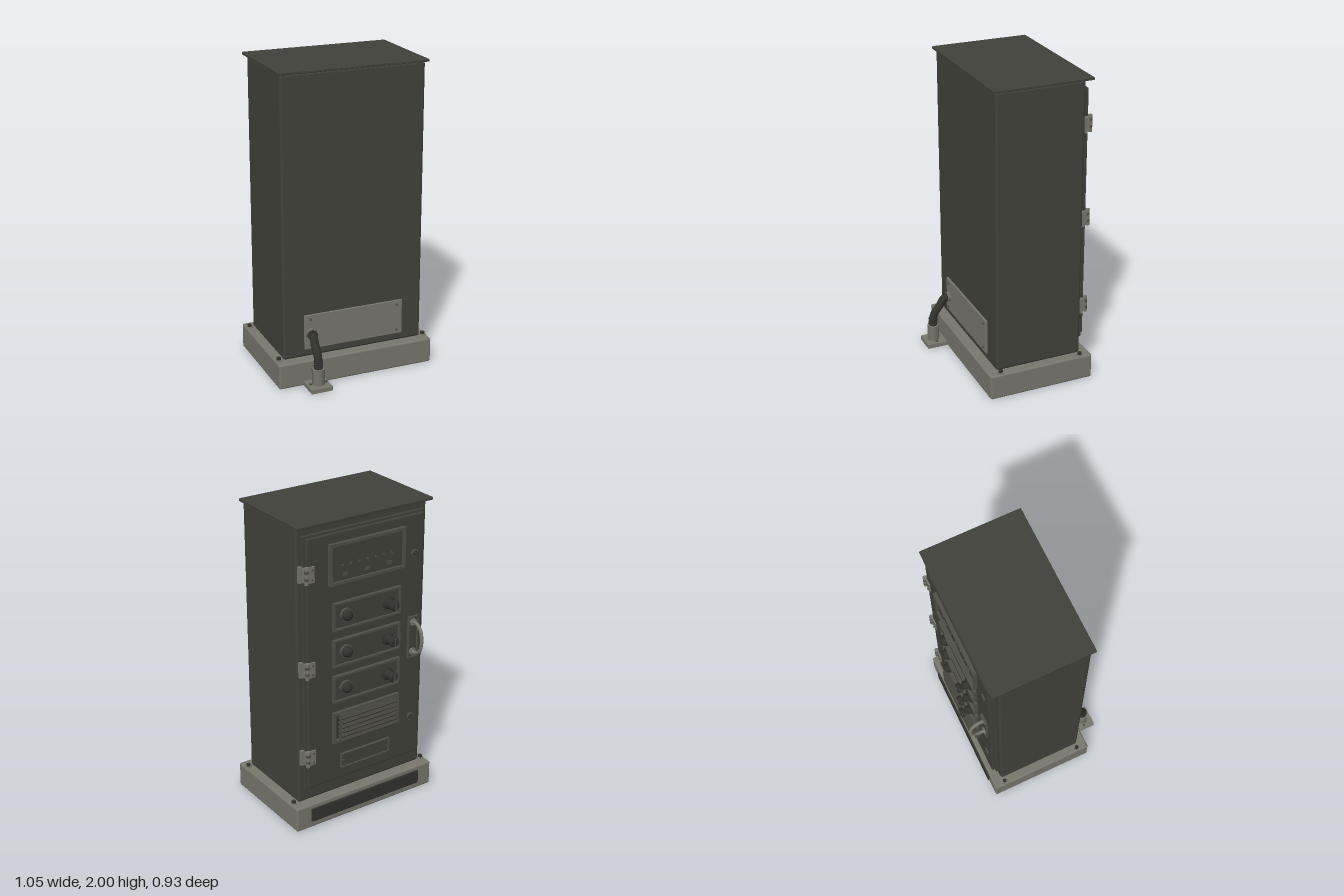
import * as THREE from 'three';
import { RoundedBoxGeometry } from 'three/addons/geometries/RoundedBoxGeometry.js';

export function createModel() {
  const root = new THREE.Group();
  root.name = 'controlCabinet';
  const mat = (name, color) => {
    const m = new THREE.MeshStandardMaterial({ color });
    m.name = name;
    return m;
  };
  const paint = mat('cabinetPaint', 0x42423b);
  const metal = mat('greyMetal', 0x78776d);
  const trim = mat('trimGrey', 0x51514a);
  const dark = mat('darkRubber', 0x32322d);

  const add = (name, geo, m, x, y, z, parent = root) => {
    const mesh = new THREE.Mesh(geo, m);
    mesh.name = name;
    mesh.position.set(x, y, z);
    parent.add(mesh);
    return mesh;
  };
  const box = (name, m, w, h, d, x, y, z, r = 0, parent = root) =>
    add(name, r ? new RoundedBoxGeometry(w, h, d, 3, r) : new THREE.BoxGeometry(w, h, d), m, x, y, z, parent);
  // Upright cylinder
  const post = (name, m, r, h, x, y, z, sides = 20, rTop = r, parent = root) =>
    add(name, new THREE.CylinderGeometry(rTop, r, h, sides), m, x, y, z, parent);
  // Cylinder lying along z
  const disc = (name, m, r, d, x, y, z, sides = 20, parent = root) => {
    const mesh = post(name, m, r, d, x, y, z, sides, r, parent);
    mesh.rotation.x = Math.PI / 2;
    return mesh;
  };
  // Rectangular bezel with an opening
  const bezel = (name, w, h, t, d, x, y, z) => {
    const rect = (P, a, b) => new P([[-a, -b], [a, -b], [a, b], [-a, b]].map(p => new THREE.Vector2(...p)));
    const s = rect(THREE.Shape, w / 2, h / 2);
    s.holes.push(rect(THREE.Path, w / 2 - t, h / 2 - t));
    const geo = new THREE.ExtrudeGeometry(s, { depth: d, bevelEnabled: false });
    return add(name, geo, trim, x, y, z);
  };

  // Plinth, body and roof
  box('plinth', metal, 1.05, 0.165, 0.7, 0, 0.0825, -0.025, 0.012);
  box('body', paint, 0.944, 1.82, 0.577, 0, 1.075, -0.0235, 0.018);
  box('roof', paint, 0.974, 0.017, 0.642, 0, 1.9915, -0.037, 0.004);
  box('plinthPanel', dark, 0.836, 0.09, 0.014, 0, 0.09, -0.379, 0.003);
  for (const x of [-0.5, 0.5]) for (const z of [-0.298, 0.248]) {
    post('anchorWasher', metal, 0.021, 0.006, x, 0.168, z);
    post('anchorBolt', dark, 0.014, 0.016, x, 0.178, z, 6);
  }

  // Door with flange
  box('doorFlange', paint, 0.88, 1.67, 0.024, 0, 1.097, -0.322, 0.004);
  box('door', paint, 0.846, 1.64, 0.03, 0, 1.097, -0.339, 0.006);
  const face = -0.354;

  // Hinges on the left edge
  for (const y of [1.7, 1.09, 0.49]) {
    const hinge = new THREE.Group();
    hinge.name = 'hinge';
    root.add(hinge);
    box('hingeBodyLeaf', metal, 0.03, 0.1, 0.03, 0.447, y, -0.317, 0, hinge);
    box('hingeDoorLeaf', metal, 0.06, 0.1, 0.01, 0.405, y, -0.358, 0, hinge);
    box('hingeWeb', metal, 0.012, 0.09, 0.035, 0.436, y, -0.343, 0, hinge);
    for (let i = -2; i <= 2; i++)
      post('hingeKnuckle', i % 2 ? trim : metal, 0.013, 0.019, 0.432, y + i * 0.022, -0.363, 16, 0.013, hinge);
    for (const s of [-1, 1]) disc('hingeScrew', trim, 0.007, 0.008, 0.392, y + s * 0.03, -0.365, 12, hinge);
  }

  // Display panel with indicator lamps
  bezel('displayFrame', 0.55, 0.26, 0.018, 0.022, 0, 1.73, -0.376);
  box('displayPlate', paint, 0.52, 0.23, 0.008, 0, 1.73, face - 0.003);
  for (let i = 0; i < 7; i++) disc('indicatorLamp', trim, 0.006, 0.008, -0.18 + i * 0.06, 1.715, face - 0.009, 12);
  for (const x of [-0.16, 0, 0.16]) box('displayKey', trim, 0.035, 0.022, 0.006, x, 1.655, face - 0.009);

  // Control rows: lamp and rotary knob
  for (const y of [1.395, 1.155, 0.915]) {
    bezel('controlFrame', 0.5, 0.18, 0.012, 0.02, 0, y, -0.374);
    box('controlPlate', paint, 0.478, 0.158, 0.008, 0, y, face - 0.003);
    disc('lampCollar', trim, 0.043, 0.018, 0.155, y, -0.367, 24);
    const lamp = add('lampDome', new THREE.SphereGeometry(0.036, 24, 10, 0, Math.PI * 2, 0, Math.PI / 2), dark, 0.155, y, -0.376);
    lamp.rotation.x = -Math.PI / 2;
    const pts = [[0.042, 0], [0.042, 0.014], [0.028, 0.02], [0.026, 0.042], [0.017, 0.046], [0.017, 0.056],
      [0.031, 0.06], [0.031, 0.08], [0.026, 0.086], [0, 0.086]];
    const knob = add('knob', new THREE.LatheGeometry(pts.map(p => new THREE.Vector2(...p)), 24).toNonIndexed(), dark, -0.158, y, -0.358);
    knob.geometry.computeVertexNormals();
    knob.rotation.x = -Math.PI / 2;
    box('knobPointer', trim, 0.008, 0.05, 0.006, -0.158, y, -0.444);
  }

  // Ventilation louvres
  bezel('ventFrame', 0.5, 0.21, 0.018, 0.022, 0, 0.65, -0.376);
  box('ventBacking', dark, 0.46, 0.17, 0.006, 0, 0.65, face - 0.002);
  for (let i = 0; i < 6; i++)
    box('louvre', paint, 0.418, 0.008, 0.056, 0, 0.577 + i * 0.031, -0.383).rotation.x = -0.5;

  // Nameplate, blank
  bezel('nameplateFrame', 0.374, 0.1, 0.007, 0.014, 0, 0.4, -0.368);
  box('nameplate', paint, 0.36, 0.086, 0.006, 0, 0.4, face - 0.003);
  for (const x of [-0.165, 0.165]) disc('nameplateRivet', trim, 0.006, 0.008, x, 0.4, face - 0.007, 12);

  // Pull handle and locks on the right edge
  bezel('handleFrame', 0.075, 0.28, 0.007, 0.016, -0.355, 1.115, -0.37);
  box('handlePlate', paint, 0.065, 0.27, 0.008, -0.355, 1.115, face - 0.003);
  const grip = new THREE.CatmullRomCurve3([[1.215, -0.355], [1.215, -0.4], [1.185, -0.438], [1.115, -0.454],
    [1.045, -0.438], [1.015, -0.4], [1.015, -0.355]].map(([y, z]) => new THREE.Vector3(-0.355, y, z)));
  add('handleGrip', new THREE.TubeGeometry(grip, 40, 0.011, 12), metal, 0, 0, 0);
  for (const y of [1.215, 1.015]) disc('handleFoot', metal, 0.024, 0.012, -0.355, y, -0.363);
  for (const y of [1.67, 0.55]) {
    disc('lockRing', trim, 0.025, 0.012, -0.355, y, -0.358, 24);
    disc('lockCore', dark, 0.016, 0.008, -0.355, y, -0.366);
    box('keySlot', trim, 0.004, 0.018, 0.003, -0.355, y, -0.371);
  }

  // Access plate on the front
  box('accessPlate', metal, 0.67, 0.23, 0.014, 0, 0.335, 0.271, 0.003);
  for (const x of [-0.297, 0.297]) for (const y of [0.42, 0.25]) disc('plateScrew', trim, 0.008, 0.008, x, y, 0.281, 12);

  // Cable conduit with gland and floor fitting
  const px = -0.293;
  disc('glandNut', metal, 0.038, 0.02, px, 0.325, 0.286, 6);
  disc('glandCollar', dark, 0.031, 0.022, px, 0.325, 0.305);
  const path = new THREE.CatmullRomCurve3([[0.327, 0.285], [0.318, 0.315], [0.27, 0.348], [0.215, 0.387],
    [0.175, 0.396], [0.13, 0.396]].map(([y, z]) => new THREE.Vector3(px, y, z)));
  add('conduit', new THREE.TubeGeometry(path, 40, 0.026, 16), dark, 0, 0, 0);
  for (let i = 0; i < 4; i++) {
    const rib = add('conduitRib', new THREE.TorusGeometry(0.026, 0.004, 8, 20), dark, px, 0.146 + i * 0.013, 0.396);
    rib.rotation.x = Math.PI / 2;
  }
  post('floorHex', metal, 0.042, 0.105, px, 0.085, 0.396, 6);
  box('floorPlate', metal, 0.142, 0.032, 0.137, px, 0.016, 0.3915, 0.004);
  for (const s of [-1, 1]) post('floorBolt', trim, 0.009, 0.012, px + s * 0.052, 0.036, 0.392, 6);

  return root;
}
